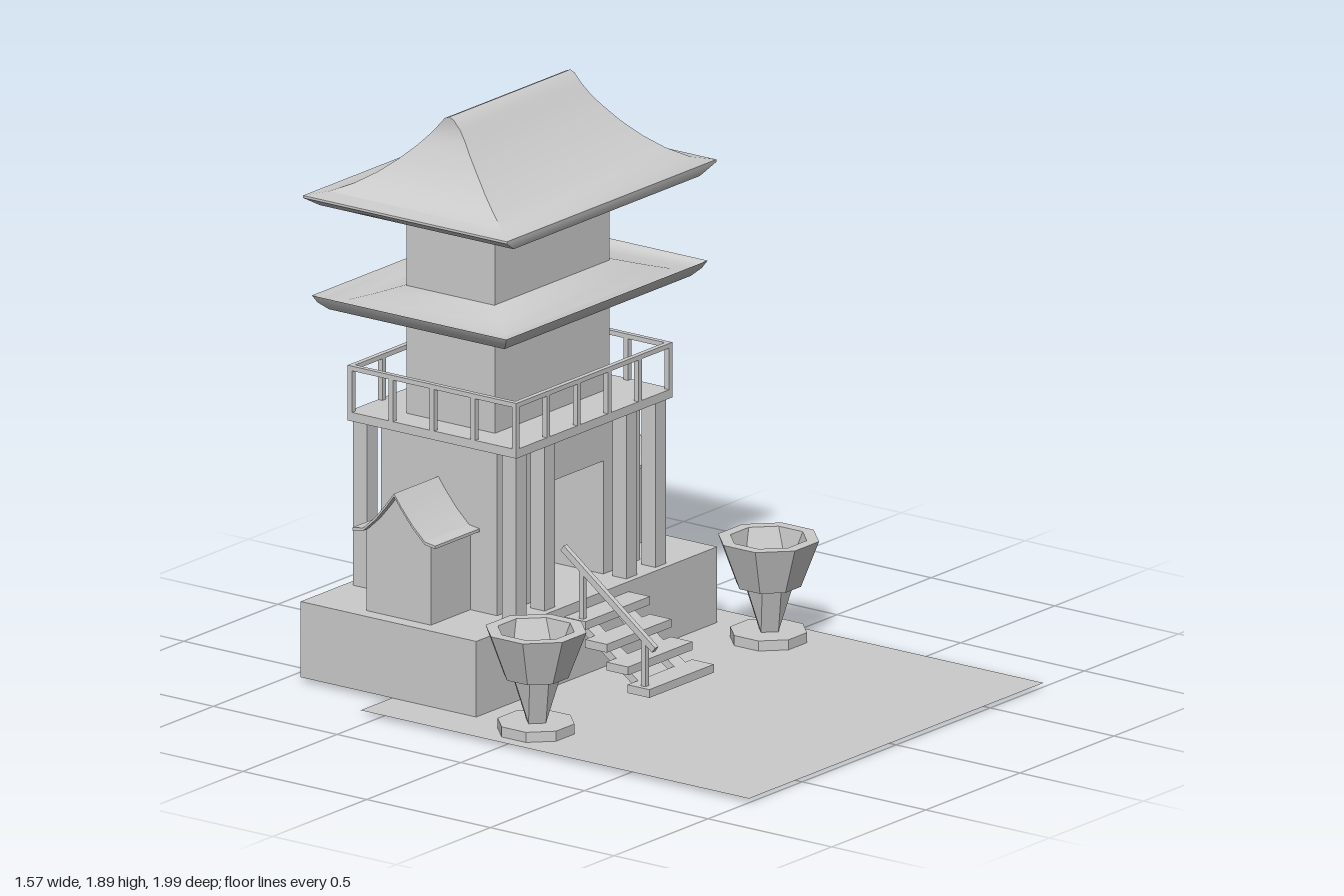
import * as THREE from 'three';
import { toCreasedNormals } from 'three/addons/utils/BufferGeometryUtils.js';

const CX = 0.023, CZ = -0.58; // tower axis
const flat = new THREE.MeshStandardMaterial({ color: 0xcccccc, flatShading: true });
const smooth = new THREE.MeshStandardMaterial({ color: 0xcccccc });
const open = new THREE.MeshStandardMaterial({ color: 0xcccccc, side: THREE.DoubleSide });

function add(parent, name, geometry, material = flat) {
  const mesh = new THREE.Mesh(geometry, material);
  mesh.name = name;
  parent.add(mesh);
  return mesh;
}

function group(parent, name) {
  const g = new THREE.Group();
  g.name = name;
  parent.add(g);
  return g;
}

// Box given by its limits on each axis
function box(parent, name, x0, x1, y0, y1, z0, z1, material = flat) {
  const mesh = add(parent, name, new THREE.BoxGeometry(x1 - x0, y1 - y0, z1 - z0), material);
  mesh.position.set((x0 + x1) / 2, (y0 + y1) / 2, (z0 + z1) / 2);
  return mesh;
}

// Square bar between two points in the y-z plane
function slopedBar(parent, name, x, w, h, y0, z0, y1, z1) {
  const mesh = add(parent, name, new THREE.BoxGeometry(w, h, Math.hypot(y1 - y0, z1 - z0)));
  mesh.position.set(x, (y0 + y1) / 2, (z0 + z1) / 2);
  mesh.rotation.x = Math.atan2(y1 - y0, z0 - z1);
}

// Hipped roof lofted through rectangular rings [half width, half depth, y]
function hippedRoof(parent, name, rings) {
  const corners = [[1, 1], [1, -1], [-1, -1], [-1, 1]];
  const point = ([hx, hz, y], i) => [hx * corners[i % 4][0], y, hz * corners[i % 4][1]];
  const pos = [];
  for (let k = 0; k < rings.length - 1; k++) {
    for (let i = 0; i < 4; i++) {
      const a = point(rings[k], i), b = point(rings[k], i + 1);
      const c = point(rings[k + 1], i + 1), d = point(rings[k + 1], i);
      pos.push(...a, ...b, ...c, ...a, ...c, ...d);
    }
  }
  const geo = new THREE.BufferGeometry();
  geo.setAttribute('position', new THREE.Float32BufferAttribute(pos, 3));
  geo.computeVertexNormals();
  const mesh = add(parent, name, toCreasedNormals(geo, 0.6), smooth);
  mesh.position.set(CX, 0, CZ);
}

// Extrude a z-y profile along x
function extrudeX(parent, name, pts, x0, x1) {
  const shape = new THREE.Shape(pts.map(([z, y]) => new THREE.Vector2(-z, y)));
  const geo = new THREE.ExtrudeGeometry(shape, { depth: x1 - x0, bevelEnabled: false });
  geo.rotateY(Math.PI / 2);
  const mesh = add(parent, name, toCreasedNormals(geo, 0.5), smooth);
  mesh.position.set(x0, 0, CZ);
}

// Octagonal bowl whose stem foot and bowl floor narrow to squares
function fireBowlGeometry() {
  const profile = [[0, 0.01], [0.128, 0.01], [0.128, 0.058], [0.04, 0.058], [0.081, 0.211],
    [0.108, 0.211], [0.168, 0.368], [0.127, 0.368], [0.1, 0.225], [0, 0.225]];
  const geo = new THREE.LatheGeometry(profile.map(([r, y]) => new THREE.Vector2(r, y)), 8, Math.PI / 8);
  const pos = geo.attributes.position;
  for (let i = 0; i < pos.count; i++) {
    const ring = i % profile.length;
    if (ring !== 3 && ring !== 8) continue;
    const r = profile[ring][0];
    const angle = Math.round(Math.atan2(pos.getX(i), pos.getZ(i)) / (Math.PI / 2)) * Math.PI / 2;
    pos.setX(i, r * Math.sin(angle));
    pos.setZ(i, r * Math.cos(angle));
  }
  return geo;
}

export function createModel() {
  const model = new THREE.Group();
  model.name = 'gateTower';

  // Courtyard and stone base, which is open underneath
  const ground = add(model, 'courtyard', new THREE.PlaneGeometry(1.565, 1.57).rotateX(-Math.PI / 2), open);
  ground.position.set(0, 0.024, 0.215);
  const base = box(model, 'stoneBase', -0.618, 0.663, 0.025, 0.28, -0.938, -0.228, open);
  const index = Array.from(base.geometry.index.array);
  index.splice(18, 6);
  base.geometry.setIndex(index);

  // Gate walls with a passage through the middle
  const gate = group(model, 'gate');
  box(gate, 'gateWallRight', -0.357, -0.162, 0.28, 0.841, -0.812, -0.342);
  box(gate, 'gateWallLeft', 0.208, 0.403, 0.28, 0.841, -0.812, -0.342);
  box(gate, 'lintel', -0.162, 0.208, 0.661, 0.841, -0.812, -0.342);
  for (const x of [-0.348, -0.197, 0.238, 0.393]) {
    for (const z of [-0.279, -0.882]) {
      box(gate, 'pillar', x - 0.028, x + 0.028, 0.28, 0.841, z - 0.028, z + 0.028);
    }
  }

  // Side annexes with curved gable roofs
  const roofHalf = [[0, 0.705], [0.03, 0.665], [0.075, 0.612], [0.125, 0.566], [0.167, 0.56]];
  const roofTop = [...roofHalf.slice(1).reverse().map(([z, y]) => [-z, y]), ...roofHalf];
  const roofLine = [...roofTop, ...roofTop.map(([z, y]) => [z, y - 0.01]).reverse()];
  const annexWall = [[-0.13, 0.28], [-0.13, 0.555], [-0.075, 0.604], [-0.03, 0.656], [0, 0.696],
    [0.03, 0.656], [0.075, 0.604], [0.13, 0.555], [0.13, 0.28]];
  for (const [side, wall, eave] of [[1, 0.605, 0.623], [-1, -0.567, -0.593]]) {
    const annex = group(model, side > 0 ? 'annexLeft' : 'annexRight');
    const inner = side > 0 ? 0.39 : -0.35;
    extrudeX(annex, 'annexWall', annexWall, Math.min(inner, wall), Math.max(inner, wall));
    extrudeX(annex, 'annexRoof', roofLine, Math.min(inner, eave), Math.max(inner, eave));
  }

  // Balcony floor and railing
  const balcony = group(model, 'balcony');
  const [bx0, bx1, bz0, bz1] = [-0.392, 0.438, -0.92, -0.238];
  const t = 0.018;
  box(balcony, 'balconyFloor', bx0, bx1, 0.838, 0.868, bz0, bz1);
  for (const z of [bz0, bz1 - t]) {
    box(balcony, 'handrail', bx0, bx1, 1.008, 1.024, z, z + t);
    for (let i = 0; i < 6; i++) {
      const x = bx0 + (bx1 - bx0 - t) * i / 5;
      box(balcony, 'railPost', x, x + t, 0.868, 1.008, z, z + t);
    }
  }
  for (const x of [bx0, bx1 - t]) {
    box(balcony, 'handrail', x, x + t, 1.008, 1.024, bz0 + t, bz1 - t);
    for (let i = 1; i < 4; i++) {
      const z = bz0 + (bz1 - bz0 - t) * i / 4;
      box(balcony, 'railPost', x, x + t, 0.868, 1.008, z, z + t);
    }
  }

  // Upper tower and its two roofs
  box(model, 'upperTower', -0.292, 0.316, 0.868, 1.615, -0.757, -0.4);
  hippedRoof(model, 'lowerRoof', [
    [0.29, 0.165, 1.23], [0.39, 0.26, 1.211], [0.45, 0.315, 1.214], [0.495, 0.355, 1.23],
    [0.522, 0.38, 1.255], [0.535, 0.393, 1.279], [0.52, 0.378, 1.267], [0.495, 0.355, 1.257],
    [0.45, 0.315, 1.258], [0.39, 0.255, 1.275], [0.3, 0.17, 1.304]]);
  hippedRoof(model, 'mainRoof', [
    [0.29, 0.165, 1.61], [0.495, 0.392, 1.574], [0.557, 0.412, 1.61], [0.557, 0.412, 1.618],
    [0.5, 0.35, 1.63], [0.455, 0.282, 1.66], [0.415, 0.218, 1.7], [0.38, 0.16, 1.746],
    [0.35, 0.105, 1.797], [0.332, 0.073, 1.832], [0.322, 0.045, 1.865], [0.322, 0.018, 1.895],
    [0.322, 0, 1.902]]);

  // Open wooden stairs with one handrail
  const stairs = group(model, 'stairs');
  for (let i = 0; i < 4; i++) {
    const y = 0.052 + i * 0.06, z = 0.072 - i * 0.086;
    box(stairs, 'step', -0.15, 0.193, y - 0.014, y + 0.014, z - 0.044, z + 0.044);
  }
  for (const x of [-0.069, 0.123]) {
    slopedBar(stairs, 'stringer', x, 0.058, 0.026, 0.03, 0.063, 0.225, -0.225);
  }
  slopedBar(stairs, 'stairRail', -0.124, 0.018, 0.022, 0.195, 0.12, 0.47, -0.25);
  box(stairs, 'stairPost', -0.133, -0.115, 0.05, 0.225, 0.07, 0.088);
  box(stairs, 'stairPost', -0.133, -0.115, 0.232, 0.412, -0.182, -0.164);

  // Octagonal fire bowls
  const bowlGeometry = fireBowlGeometry();
  for (const side of [1, -1]) {
    const bowl = add(model, side > 0 ? 'fireBowlLeft' : 'fireBowlRight', bowlGeometry);
    bowl.position.set(side * 0.618, 0, 0.014);
  }
  return model;
}
